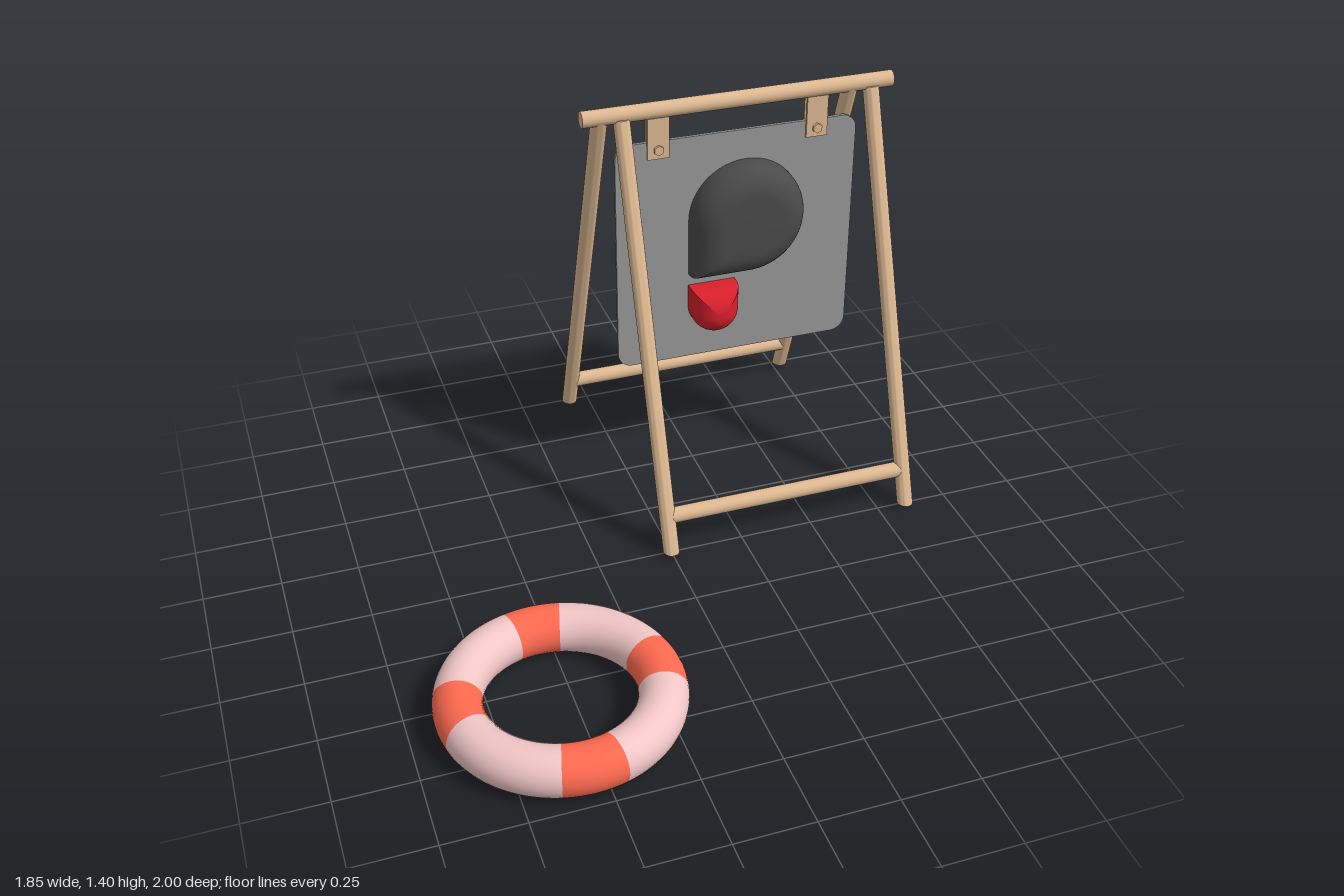
import * as THREE from 'three';
import { toCreasedNormals } from 'three/addons/utils/BufferGeometryUtils.js';

const mat = (color) => new THREE.MeshStandardMaterial({ color });
const BAR_Y = 1.372, BAR_Z = -0.477, POLE_R = 0.027, FOOT_Y = 0.016;

export function createModel() {
  const root = new THREE.Group();
  const wood = mat(0xdeb992), panel = mat(0x999999), dark = mat(0x4a4a4a);
  const red = mat(0xd8202c), pink = mat(0xf2c6c6), orange = mat(0xff6a50);

  const add = (name, geometry, material, x = 0, y = 0, z = 0) => {
    const mesh = new THREE.Mesh(geometry, material);
    mesh.name = name;
    mesh.position.set(x, y, z);
    root.add(mesh);
    return mesh;
  };

  // Horizontal pole along x
  const pole = (name, x0, x1, y, z) => {
    const g = new THREE.CylinderGeometry(POLE_R, POLE_R, x1 - x0, 24).rotateZ(Math.PI / 2);
    add(name, g, wood, (x0 + x1) / 2, y, z);
  };

  // Sloping leg, sheared so that its foot is cut level with the ground
  const leg = (name, x, footZ) => {
    const h = BAR_Y - 0.01 - FOOT_Y;
    const slope = (BAR_Z - footZ) / (BAR_Y - FOOT_Y);
    const g = new THREE.CylinderGeometry(POLE_R, POLE_R, h, 24);
    g.translate(0, h / 2, 0).scale(1, 1, Math.hypot(1, slope));
    g.applyMatrix4(new THREE.Matrix4().set(1, 0, 0, 0, 0, 1, 0, 0, 0, slope, 1, 0, 0, 0, 0, 1));
    add(name, toCreasedNormals(g, 0.6), wood, x, FOOT_Y, footZ);
  };

  // A-frame: the back pair is offset sideways from the front pair
  pole('topBar', -0.136, 0.92, BAR_Y, BAR_Z);
  for (const [side, footZ, x0, x1, railZ] of [
    ['front', 0.016, -0.005, 0.845, -0.028],
    ['back', -0.972, -0.075, 0.775, -0.934],
  ]) {
    leg(side + 'LegRight', x0, footZ);
    leg(side + 'LegLeft', x1, footZ);
    pole(side + 'Rail', x0, x1, 0.128, railZ);
  }

  // Hanging panel with rounded corners
  const w = 0.415, h = 0.409, r = 0.05;
  const s = new THREE.Shape();
  s.absarc(w - r, h - r, r, 0, Math.PI / 2);
  s.absarc(-w + r, h - r, r, Math.PI / 2, Math.PI);
  s.absarc(-w + r, -h + r, r, Math.PI, Math.PI * 1.5);
  s.absarc(w - r, -h + r, r, Math.PI * 1.5, Math.PI * 2);
  const sheet = new THREE.ExtrudeGeometry(s, { depth: 0.012, bevelEnabled: false, curveSegments: 8 });
  add('panel', sheet, panel, 0.386, 0.857, BAR_Z - 0.006);

  // Straps on both faces of the panel, each pair held by a hex bolt
  for (const x of [0.114, 0.658]) {
    for (const side of [-1, 1]) {
      add('strap', new THREE.BoxGeometry(0.073, 0.155, 0.008), wood, x, 1.286, BAR_Z + side * 0.0105);
    }
    const bolt = new THREE.CylinderGeometry(0.017, 0.017, 0.048, 6).rotateX(Math.PI / 2);
    add('bolt', toCreasedNormals(bolt, 0.5), wood, x, 1.24, BAR_Z);
  }

  // Domed pad: a round outline with square corners in some quadrants, shrunk toward a soft front
  const pad = (name, material, x, y, R, squareQuadrants, bevel, depth) => {
    const outline = [];
    for (let q = 0; q < 4; q++) {
      for (let i = 0; i < 16; i++) {
        const a = (q + i / 16) * Math.PI / 2;
        const c = Math.cos(a), n = Math.sin(a);
        const k = squareQuadrants.includes(q) ? R / Math.max(Math.abs(c), Math.abs(n)) : R;
        outline.push([c * k, n * k]);
      }
    }
    const rings = [[0, 0], [1, 0]];
    for (let i = 0; i <= 12; i++) {
      const a = (i / 12) * Math.PI / 2;
      rings.push([1 - (bevel / R) * (1 - Math.cos(a)), depth - bevel + bevel * Math.sin(a)]);
    }
    rings.push([0, depth]);
    const pos = [], idx = [], n = outline.length;
    for (const [k, z] of rings) for (const [px, py] of outline) pos.push(px * k, py * k, z);
    for (let j = 0; j < rings.length - 1; j++) {
      for (let i = 0; i < n; i++) {
        const a = j * n + i, b = j * n + (i + 1) % n;
        if (rings[j][0] > 0) idx.push(a, b, b + n);
        if (rings[j + 1][0] > 0) idx.push(a, b + n, a + n);
        else if (rings[j][0] > 0) idx[idx.length - 1] = a + n;
      }
    }
    const g = new THREE.BufferGeometry();
    g.setAttribute('position', new THREE.Float32BufferAttribute(pos, 3));
    g.setIndex(idx);
    add(name, toCreasedNormals(g, 0.6), material, x, y, BAR_Z + 0.004);
  };
  pad('teardropPad', dark, 0.416, 0.966, 0.196, [2], 0.09, 0.11);
  pad('smallPad', red, 0.302, 0.644, 0.082, [0, 1], 0.08, 0.11);

  // Life ring lying flat: alternating bands around one torus
  const ring = new THREE.Group();
  ring.name = 'lifeRing';
  ring.position.set(-0.551, 0.075, 0.622);
  const bandArc = Math.PI / 6, bodyArc = Math.PI / 3;
  const segment = (name, material, arc, start) => {
    const g = new THREE.TorusGeometry(0.301, 0.075, 32, Math.round(arc * 24), arc);
    const mesh = new THREE.Mesh(g.rotateZ(start).rotateX(Math.PI / 2), material);
    mesh.name = name;
    ring.add(mesh);
  };
  for (let i = 0; i < 4; i++) {
    const a = (i * Math.PI) / 2;
    segment('ringBand', orange, bandArc, a - bandArc / 2);
    segment('ringBody', pink, bodyArc, a + bandArc / 2);
  }
  root.add(ring);
  return root;
}
